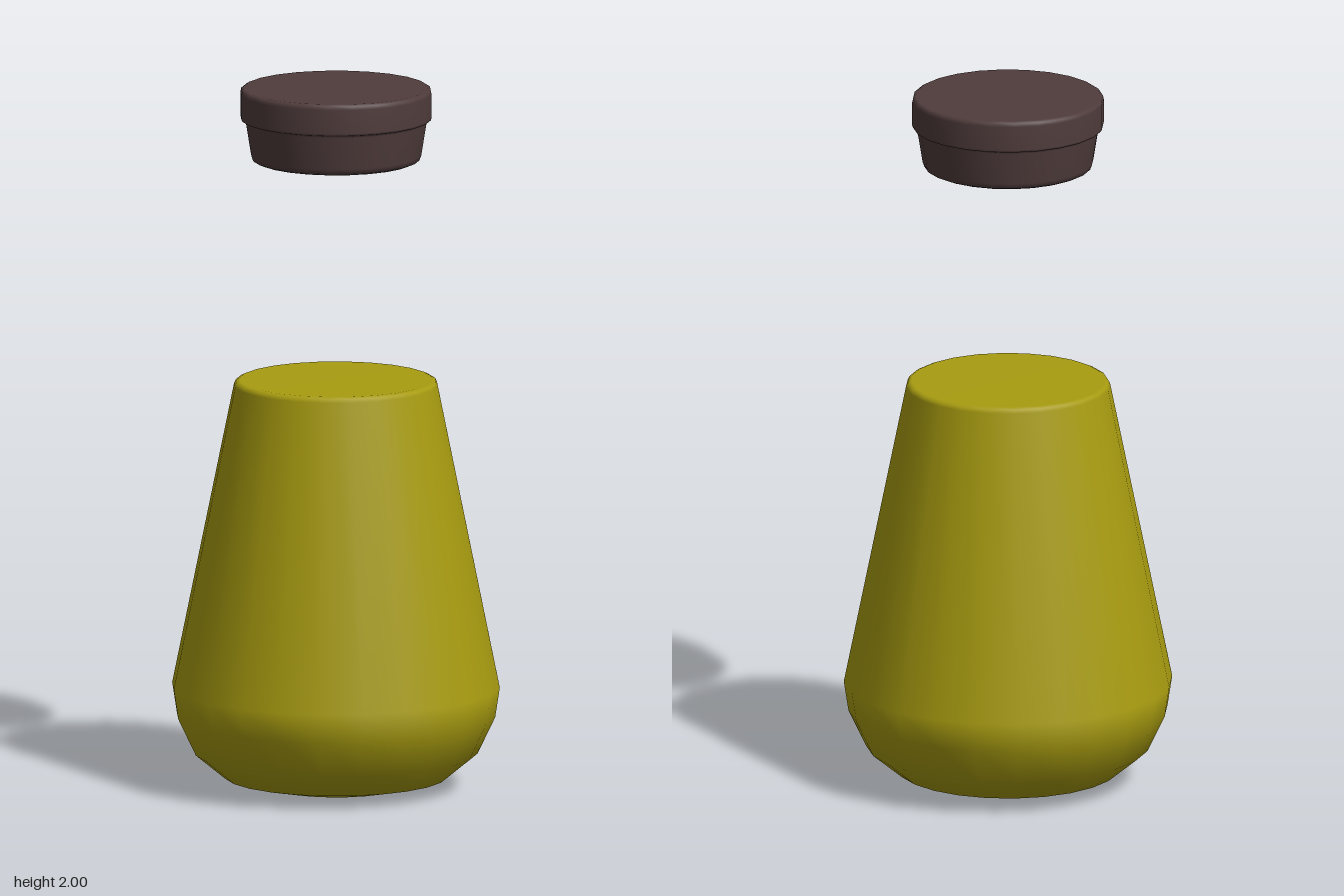
import * as THREE from 'three';

const SIDES = 24;

// Turned part from a profile of [radius, height] pairs, bottom to top
function turned(name, profile, material) {
  const points = profile.map(([r, y]) => new THREE.Vector2(r, y));
  const mesh = new THREE.Mesh(new THREE.LatheGeometry(points, SIDES), material);
  mesh.name = name;
  return mesh;
}

export function createModel() {
  const glaze = new THREE.MeshStandardMaterial({ color: 0xa89c10 });
  glaze.name = 'olive yellow';
  const dark = new THREE.MeshStandardMaterial({ color: 0x503c3c });
  dark.name = 'dark brown';

  const group = new THREE.Group();
  group.name = 'bottleWithStopper';

  // Tapered body with a rounded base and a closed flat top
  group.add(turned('body', [
    [0, 0], [0.2, 0.005], [0.315, 0.03], [0.4, 0.1], [0.45, 0.205],
    [0.463, 0.29], [0.288, 1.15], [0.283, 1.16], [0.272, 1.165], [0, 1.165],
  ], glaze));

  // Floating stopper: tapered plug below a wider cap
  group.add(turned('stopper', [
    [0, 1.79], [0.222, 1.79], [0.236, 1.796], [0.241, 1.81],
    [0.256, 1.903], [0.257, 1.908], [0.262, 1.909], [0.268, 1.911],
    [0.27, 1.917], [0.27, 1.985], [0.268, 1.995], [0.26, 2], [0, 2],
  ], dark));

  return group;
}
